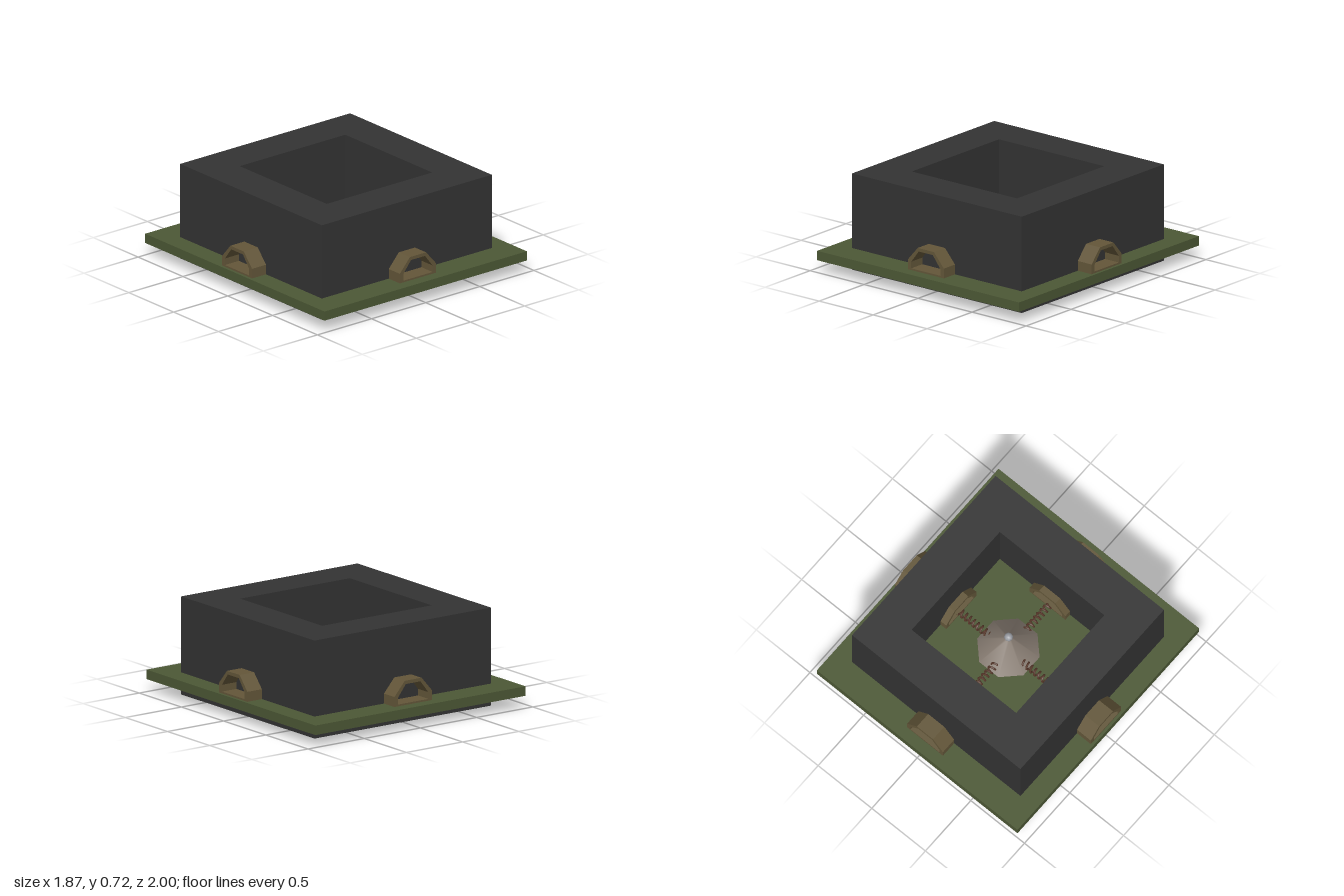
import * as THREE from 'three';

const mat = (color, flat = true) => new THREE.MeshStandardMaterial({ color, flatShading: flat });

// Closed polygon shape from [x, y] pairs
const polygon = (P, pts) => new P(pts.map(([x, y]) => new THREE.Vector2(x, y)));

// Coil running along +z
class Coil extends THREE.Curve {
  getPoint(t, target = new THREE.Vector3()) {
    const a = t * 8 * Math.PI * 2;
    return target.set(0.024 * Math.cos(a), 0.024 * Math.sin(a), 0.15 + 0.29 * t);
  }
}

export function createModel() {
  const model = new THREE.Group();
  const dark = mat(0x333333);
  const green = mat(0x4c5835);
  const tan = mat(0x635639);
  const rust = mat(0x5a3a2c, false);

  const add = (name, geometry, material, x = 0, y = 0, z = 0, parent = model) => {
    const mesh = new THREE.Mesh(geometry, material);
    mesh.name = name;
    mesh.position.set(x, y, z);
    parent.add(mesh);
    return mesh;
  };

  // Foundation and grass slab
  add('foundation', new THREE.BoxGeometry(1.57, 0.12, 1.58), dark, 0, 0.06, 0);
  add('groundSlab', new THREE.BoxGeometry(1.87, 0.07, 2), green, 0, 0.127, 0);

  // Thick square wall around an open court
  const rect = (P, w, d) => polygon(P, [[-w, -d], [w, -d], [w, d], [-w, d]]);
  const wallShape = rect(THREE.Shape, 0.785, 0.79);
  wallShape.holes.push(rect(THREE.Path, 0.487, 0.485));
  const wallGeo = new THREE.ExtrudeGeometry(wallShape, { depth: 0.6, bevelEnabled: false });
  wallGeo.rotateX(-Math.PI / 2);
  add('wall', wallGeo, dark, 0, 0.12, 0);

  // Faceted arch frame with a sill
  const arch = polygon(THREE.Shape, [[-0.167, 0.16], [0.167, 0.16], [0.167, 0.235],
    [0.075, 0.34], [-0.075, 0.34], [-0.167, 0.235]]);
  arch.holes.push(polygon(THREE.Path, [[-0.135, 0.175], [0.135, 0.175], [0.135, 0.225],
    [0.065, 0.315], [-0.065, 0.315], [-0.135, 0.225]]));
  const archGeo = new THREE.ExtrudeGeometry(arch, { depth: 0.48, bevelEnabled: false });
  const coilGeo = new THREE.TubeGeometry(new Coil(), 128, 0.008, 5);

  // One arch and one coil on each side
  ['front', 'left', 'back', 'right'].forEach((side, i) => {
    const group = new THREE.Group();
    group.name = side + 'Gate';
    group.rotation.y = i * Math.PI / 2;
    model.add(group);
    add('arch', archGeo, tan, 0, 0, 0.434, group);
    const offset = [-0.015, 0.015, 0.015, -0.015][i];
    add('coil', coilGeo, rust, offset, 0.2, 0, group);
  });

  // Eight-sided cone in the court, with a small tip
  const cone = new THREE.CylinderGeometry(0.02, 0.235, 0.22, 8, 1);
  cone.rotateY(Math.PI / 8);
  add('centralCone', cone, mat(0x857a70, false), 0.005, 0.27, 0.01);
  add('coneTip', new THREE.SphereGeometry(0.033, 8, 6), mat(0x9a9da3, false), 0.005, 0.385, 0.012);

  return model;
}
